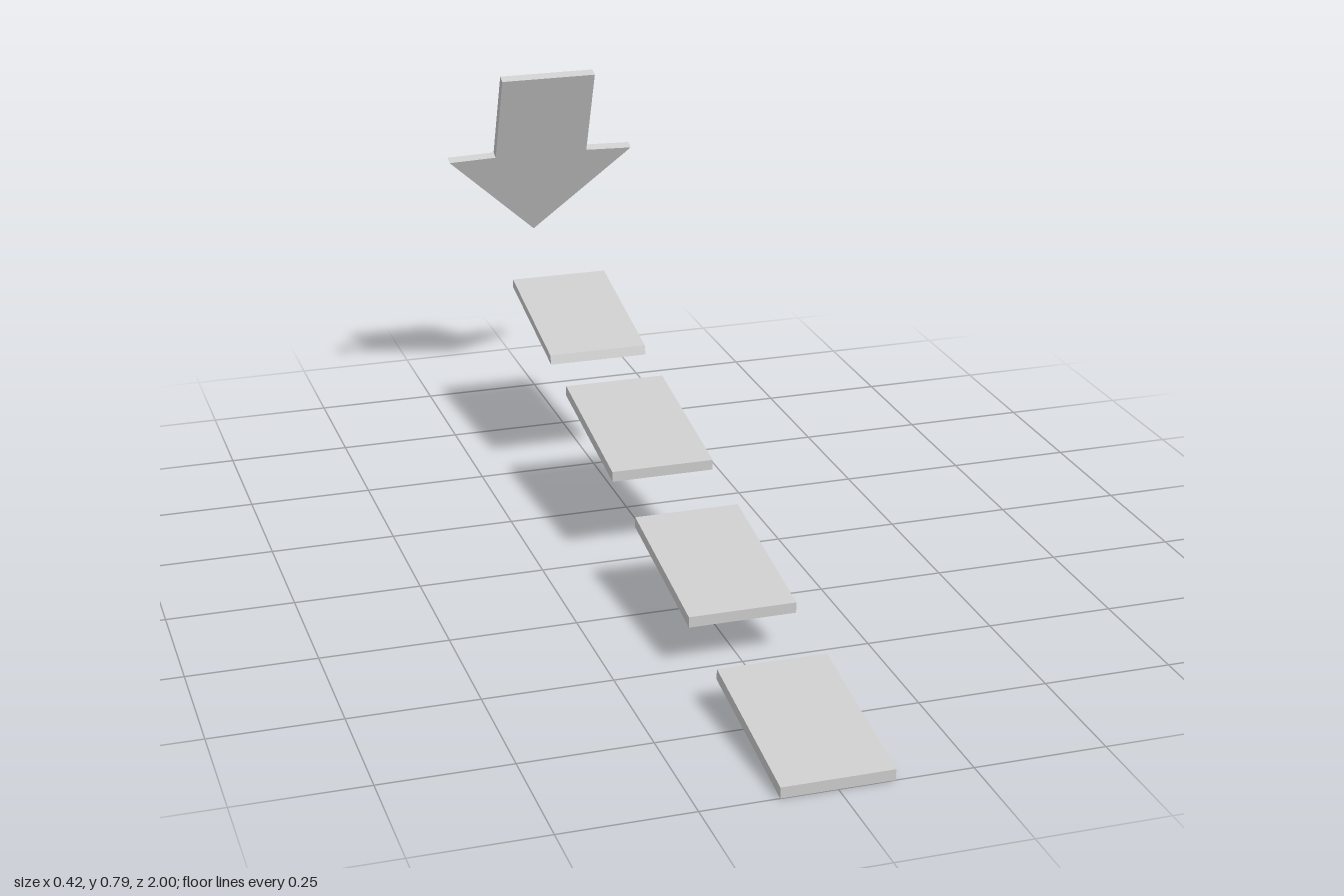
import * as THREE from 'three';

const material = new THREE.MeshStandardMaterial({ color: 0xcccccc, flatShading: true });
const WIDTH = 0.21;

function extrude(points, depth) {
  const shape = new THREE.Shape(points.map(([x, y]) => new THREE.Vector2(x, y)));
  return new THREE.ExtrudeGeometry(shape, { depth, bevelEnabled: false });
}

// Sloping slab from a side profile of [z, y] corners, extruded across x
function slab(name, profile) {
  const geometry = extrude(profile.map(([z, y]) => [-z, y]), WIDTH);
  geometry.translate(0, 0, -WIDTH / 2).rotateY(Math.PI / 2);
  const mesh = new THREE.Mesh(geometry, material);
  mesh.name = name;
  return mesh;
}

export function createModel() {
  const group = new THREE.Group();
  group.name = 'dashedArrow';

  // Three equal dashes climbing towards the back: [front z, bottom y]
  [[1, 0], [0.499, 0.085], [0.005, 0.175]].forEach(([z, y], i) => {
    group.add(slab(`dash${i + 1}`, [
      [z, y], [z - 0.341, y + 0.058], [z - 0.338, y + 0.079], [z, y + 0.021],
    ]));
  });

  // Last dash, slightly steeper, with its front end leaning back
  group.add(slab('dash4', [
    [-0.452, 0.259], [-0.768, 0.329], [-0.768, 0.347], [-0.458, 0.278],
  ]));

  // Arrow pointing down, leaning forward at the top
  const right = [[0.21, 0.21], [0.105, 0.214], [0.105, 0.421]];
  const left = right.map(([x, y]) => [-x, y]).reverse();
  const arrow = new THREE.Mesh(extrude([[0, 0], ...right, ...left], 0.02), material);
  arrow.name = 'arrowhead';
  arrow.rotation.x = 0.374;
  arrow.position.set(0, 0.398, -1);
  group.add(arrow);

  return group;
}
